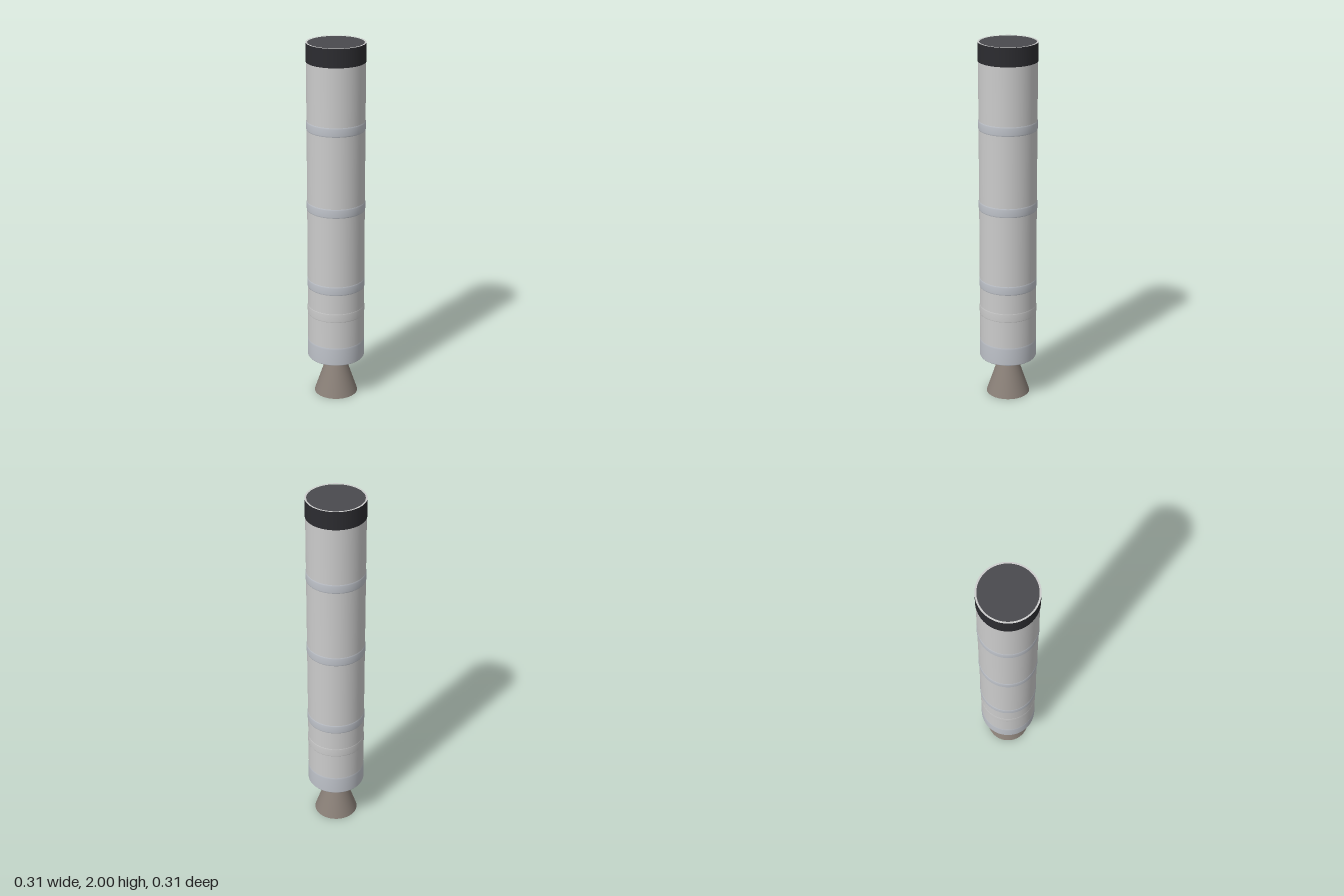
import * as THREE from 'three';

const SEGMENTS = 64;

export function createModel() {
  const model = new THREE.Group();
  const paint = (color, side = THREE.FrontSide) => new THREE.MeshStandardMaterial({ color, side });
  const white = paint(0xcccccc);
  const silver = paint(0xbfc3ca);
  const black = paint(0x2c2c30);
  const darkGrey = paint(0x4a4a4e);

  function add(name, geometry, material, y = 0) {
    const mesh = new THREE.Mesh(geometry, material);
    mesh.name = name;
    mesh.position.y = y;
    model.add(mesh);
    return mesh;
  }

  // Profiles run from bottom to top as [radius, height]
  const lathe = (points) =>
    new THREE.LatheGeometry(points.map(([r, y]) => new THREE.Vector2(r, y)), SEGMENTS);
  const tube = (r, y0, y1) => lathe([[r, y0], [r, y1]]);

  function flatRing(name, inner, outer, y, material, up) {
    const ring = add(name, new THREE.RingGeometry(inner, outer, SEGMENTS), material, y);
    ring.rotation.x = up ? -Math.PI / 2 : Math.PI / 2;
  }
  function disc(name, radius, y, material, up) {
    const mesh = add(name, new THREE.CircleGeometry(radius, SEGMENTS), material, y);
    mesh.rotation.x = up ? -Math.PI / 2 : Math.PI / 2;
  }

  // Main casing and the slightly wider aft skirt
  add('casing', tube(0.155, 0.32, 1.9), white);
  add('aftSkirt', lathe([[0.154, 0.225], [0.157, 0.23], [0.157, 0.32], [0.155, 0.33]]), silver);

  // Softly raised bands at the segment joints
  for (const y of [0.67, 1.115, 1.56]) {
    add('jointBand', lathe([
      [0.155, -0.025], [0.1575, -0.018], [0.1575, 0.018], [0.155, 0.025],
    ]), silver, y);
  }
  add('attachBand', lathe([
    [0.155, -0.025], [0.1565, -0.02], [0.1565, 0.02], [0.155, 0.025],
  ]), white, 0.51);

  // Dark forward collar with a pale rim and a closing plate
  add('forwardCollar', tube(0.157, 1.9, 2), black);
  flatRing('collarLedge', 0.15, 0.157, 1.9, black, false);
  flatRing('forwardRim', 0.148, 0.157, 2, white, true);
  disc('forwardPlate', 0.149, 1.998, darkGrey, true);

  // Aft rim and recessed base plate
  flatRing('aftRim', 0.138, 0.154, 0.225, silver, false);
  add('aftRimInside', tube(0.138, 0.225, 0.235), paint(0x55565a, THREE.BackSide));
  disc('basePlate', 0.139, 0.234, black, false);

  // Open conical nozzle with a dark lining
  add('nozzle', lathe([[0.12, 0], [0.045, 0.225], [0.042, 0.234]]), paint(0x8a8078));
  add('nozzleLining', lathe([[0.12, 0], [0.043, 0.225]]), paint(0x5a585c, THREE.BackSide));
  disc('nozzleThroat', 0.044, 0.224, darkGrey, false);

  return model;
}
